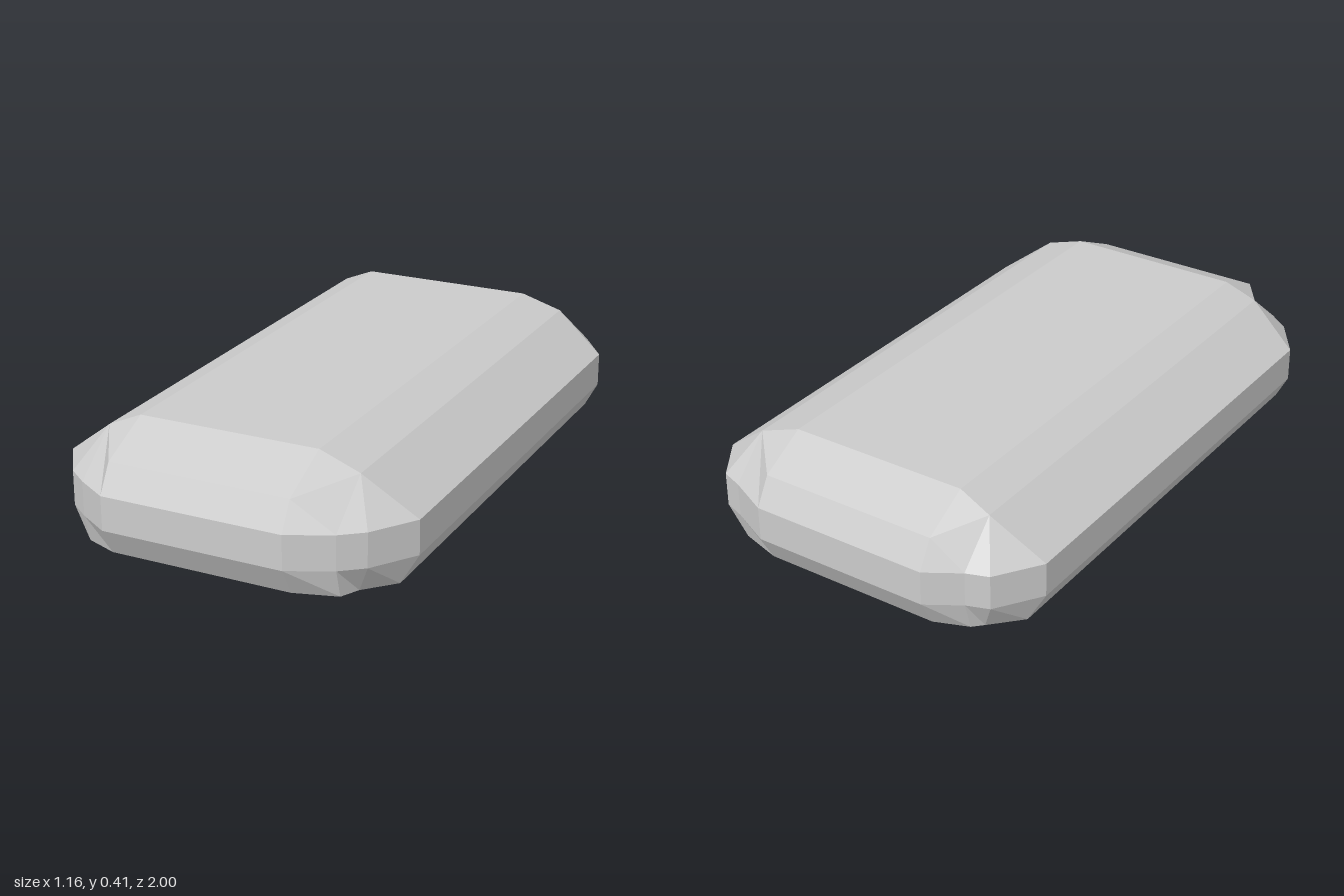
import * as THREE from 'three';

// Corner profiles from bottom to top: four points each, running from side to end.
// 'e' marks the x where the straight end face begins.
const rings = [
  [[0.415, 0, 0.76], [0.415, 0, 0.77], [0.40, 0, 0.78], ['e', 0, 0.80]],
  [[0.53, 0.04, 0.76], [0.445, 0.04, 0.85], [0.415, 0.04, 0.91], ['e', 0.04, 0.95]],
  [[0.58, 0.13, 0.74], [0.485, 0.13, 0.88], [0.415, 0.13, 0.935], ['e', 0.13, 1]],
  [[0.58, 0.24, 0.74], [0.485, 0.24, 0.88], [0.415, 0.24, 0.935], ['e', 0.24, 1]],
  [[0.415, 0.365, 0.78], [0.415, 0.365, 0.78], [0.415, 0.365, 0.78], ['e', 0.328, 0.95]],
  [['e', 0.41, 0.77], ['e', 0.41, 0.77], ['e', 0.41, 0.77], ['e', 0.41, 0.77]],
];

// Mirror one corner profile into the four corners of a closed loop.
function loop(profile) {
  const points = [];
  for (const [sx, sz] of [[1, 1], [-1, 1], [-1, -1], [1, -1]]) {
    const corner = profile.map(([x, y, z]) => new THREE.Vector3(
      sx * (x === 'e' ? (sx > 0 ? 0.28 : 0.31) : x),
      y,
      sz * (sz < 0 && z < 0.9 ? z + 0.03 : z),
    ));
    points.push(...(sx * sz > 0 ? corner : corner.reverse()));
  }
  return points;
}

function bodyGeometry() {
  const loops = rings.map(loop);
  const positions = [];
  const tri = (a, b, c) => {
    if (new THREE.Triangle(a, b, c).getArea() < 1e-7) return;
    for (const p of [a, b, c]) positions.push(p.x, p.y, p.z);
  };
  const n = loops[0].length;
  const bottom = new THREE.Vector3(0, 0, 0);
  const top = new THREE.Vector3(0, 0.41, 0);
  for (let i = 0; i < n; i++) {
    const j = (i + 1) % n;
    // Bands between neighbouring loops
    for (let k = 0; k < loops.length - 1; k++) {
      const low = loops[k], high = loops[k + 1];
      tri(low[i], high[i], high[j]);
      tri(low[i], high[j], low[j]);
    }
    // Flat underside and top
    tri(bottom, loops[0][i], loops[0][j]);
    tri(top, loops[loops.length - 1][j], loops[loops.length - 1][i]);
  }
  const geometry = new THREE.BufferGeometry();
  geometry.setAttribute('position', new THREE.Float32BufferAttribute(positions, 3));
  geometry.computeVertexNormals();
  return geometry;
}

export function createModel() {
  const group = new THREE.Group();
  group.name = 'bevelledSlab';
  const material = new THREE.MeshStandardMaterial({ color: 0xcccccc, flatShading: true });
  const body = new THREE.Mesh(bodyGeometry(), material);
  body.name = 'body';
  group.add(body);
  return group;
}
